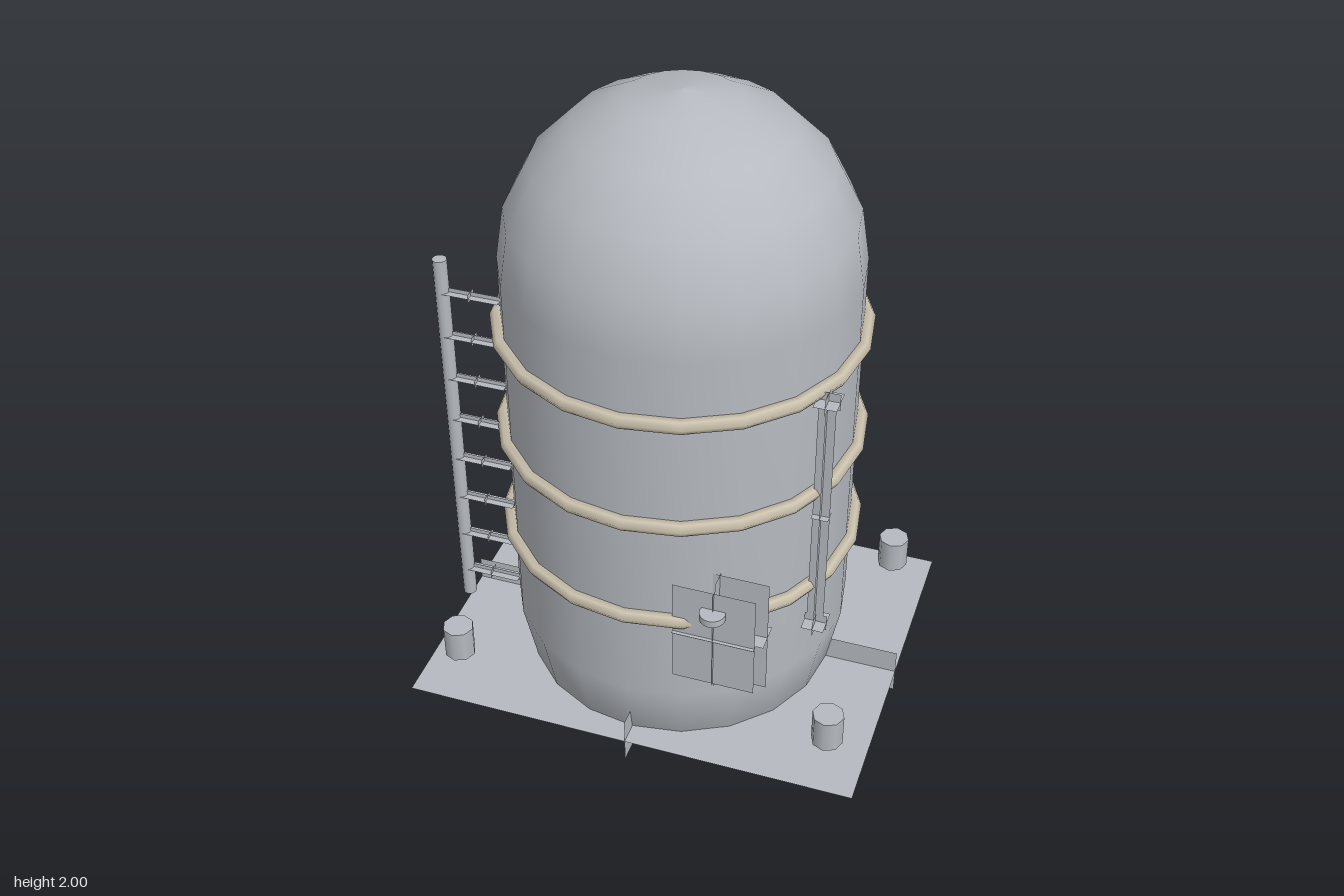
import * as THREE from 'three';

const steel = new THREE.MeshStandardMaterial({ color: 0xb6bac0 });
steel.name = 'steel grey';
const sheet = new THREE.MeshStandardMaterial({ color: 0xb6bac0, side: THREE.DoubleSide });
sheet.name = 'sheet grey';
const beige = new THREE.MeshStandardMaterial({ color: 0xcac1ad });
beige.name = 'hoop beige';

export function createModel() {
  const model = new THREE.Group();
  model.name = 'storageTank';

  const add = (name, geometry, material, x = 0, y = 0, z = 0) => {
    const mesh = new THREE.Mesh(geometry, material);
    mesh.name = name;
    mesh.position.set(x, y, z);
    model.add(mesh);
    return mesh;
  };

  // Three sheets crossing at right angles through a common centre
  const crossedSheets = (name, [w, h, d], [x, y, z]) => {
    const group = new THREE.Group();
    group.name = name;
    group.position.set(x, y, z);
    const facing = new THREE.Mesh(new THREE.PlaneGeometry(w, h), sheet);
    const side = new THREE.Mesh(new THREE.PlaneGeometry(d, h).rotateY(Math.PI / 2), sheet);
    const flat = new THREE.Mesh(new THREE.PlaneGeometry(w, d).rotateX(-Math.PI / 2), sheet);
    facing.name = name + 'Facing';
    side.name = name + 'Side';
    flat.name = name + 'Flat';
    group.add(facing, side, flat);
    model.add(group);
  };

  // Tank body: rounded bottom, straight wall, domed top
  const R = 0.465;
  const profile = [];
  for (let i = 0; i <= 4; i++) {
    const a = (i / 4) * Math.PI / 2;
    profile.push(new THREE.Vector2(R * Math.sin(a), R - R * Math.cos(a)));
  }
  for (let i = 0; i <= 5; i++) {
    const a = (i / 5) * Math.PI / 2;
    profile.push(new THREE.Vector2(Math.max(0, R * Math.cos(a)), 2 - R + R * Math.sin(a)));
  }
  add('tankBody', new THREE.LatheGeometry(profile, 20), steel);

  // Hoops around the wall
  for (const y of [0.74, 1.05, 1.365]) {
    add('hoop', new THREE.TorusGeometry(0.473, 0.02, 6, 20).rotateX(Math.PI / 2), beige, 0, y, 0);
  }

  // Base with its fins, and a bolt over each corner
  crossedSheets('base', [1.265, 0.14, 0.985], [0, 0.29, 0]);
  for (const x of [-0.53, 0.53]) {
    for (const z of [-0.375, 0.375]) {
      add('bolt', new THREE.CylinderGeometry(0.043, 0.043, 0.095, 8), steel, x, 0.4075, z);
    }
  }

  // Control box, its door and the hand wheel
  crossedSheets('controlBox', [0.26, 0.355, 0.08], [0.235, 0.7075, 0.405]);
  crossedSheets('controlDoor', [0.22, 0.315, 0.02], [0.235, 0.7075, 0.455]);
  add('handWheel', new THREE.CylinderGeometry(0.034, 0.034, 0.02, 16), steel, 0.235, 0.8, 0.465);

  // Side pipe with a flange at each end
  crossedSheets('pipe', [0.045, 0.765, 0.037], [0.442, 0.985, 0.217]);
  for (const y of [0.623, 1.347]) {
    crossedSheets('pipeFlange', [0.06, 0.048, 0.076], [0.444, y, 0.217]);
  }

  // Ladder: one post and eight rungs
  add('ladderPost', new THREE.CylinderGeometry(0.019, 0.019, 1.11, 10), steel, -0.573, 0.98, 0.198);
  for (let i = 0; i < 8; i++) {
    crossedSheets('ladderRung', [0.16, 0.024, 0.037], [-0.495, 0.517 + i * 0.132, 0.198]);
  }

  return model;
}
